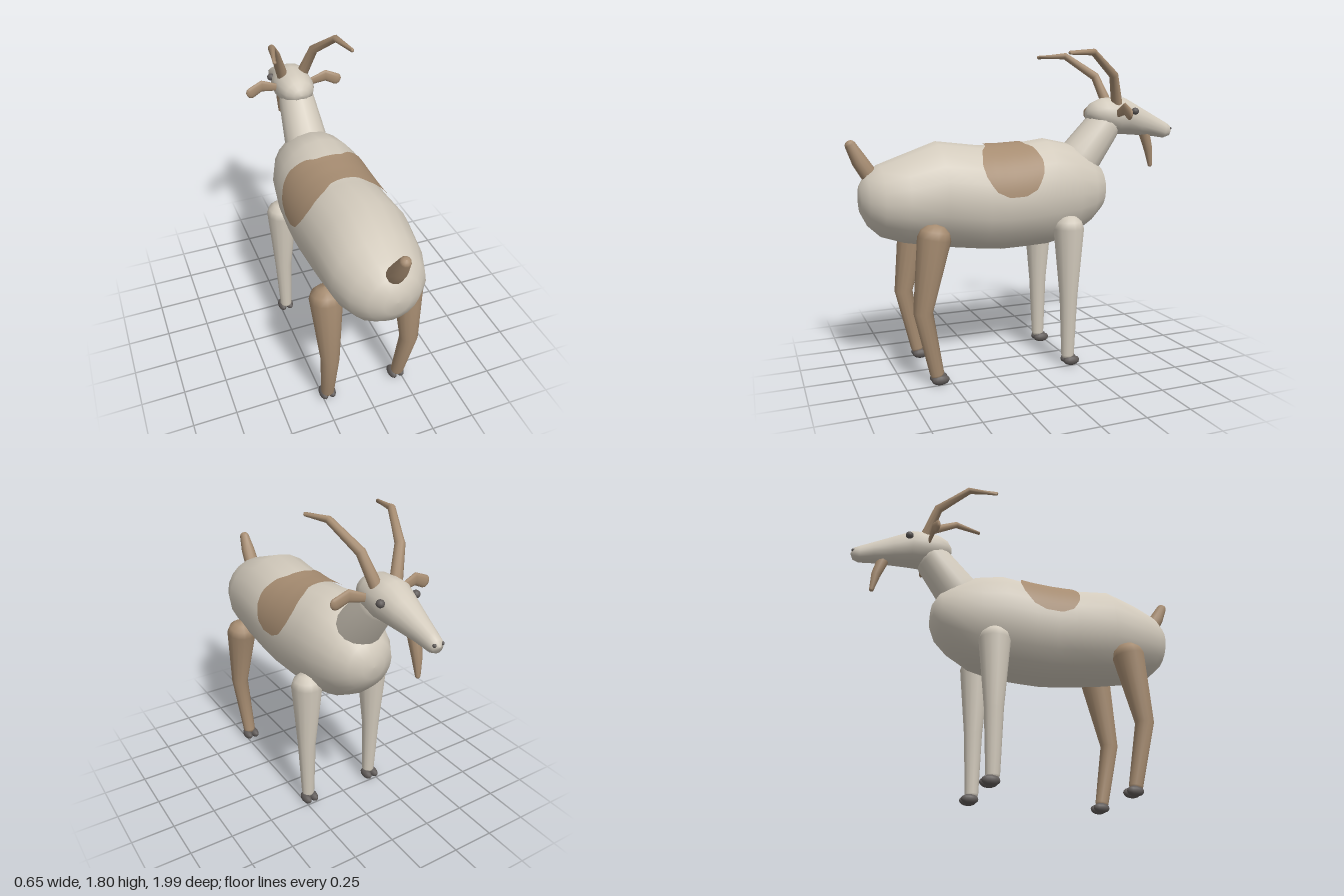
import * as THREE from 'three';

const material = (name, color) => {
  const m = new THREE.MeshStandardMaterial({ color });
  m.name = name;
  return m;
};

// Skin over rows of points; each row is one cross-section
function skin(rows) {
  const n = rows[0].length, pos = [], idx = [];
  rows.forEach(r => r.forEach(p => pos.push(p.x, p.y, p.z)));
  for (let i = 0; i < rows.length - 1; i++) {
    for (let j = 0; j < n - 1; j++) {
      const a = i * n + j, b = a + 1, c = a + n, d = c + 1;
      idx.push(a, c, b, b, c, d);
    }
  }
  const g = new THREE.BufferGeometry();
  g.setAttribute('position', new THREE.Float32BufferAttribute(pos, 3));
  g.setIndex(idx);
  g.computeVertexNormals();
  // Blend the normals along the seam where a section closes
  const nm = g.attributes.normal, u = new THREE.Vector3(), v = new THREE.Vector3();
  rows.forEach((r, i) => {
    if (r[0].distanceTo(r[n - 1]) > 1e-5) return;
    u.fromBufferAttribute(nm, i * n).add(v.fromBufferAttribute(nm, i * n + n - 1)).normalize();
    nm.setXYZ(i * n, u.x, u.y, u.z);
    nm.setXYZ(i * n + n - 1, u.x, u.y, u.z);
  });
  return g;
}

// Point on a section [z, bottom, top, halfWidth] at an angle, pushed out by grow
const onSection = ([z, lo, hi, w], a, grow = 0) => new THREE.Vector3(
  Math.cos(a) * (w + grow), (lo + hi) / 2 + Math.sin(a) * ((hi - lo) / 2 + grow), z);

const hull = (sections, n = 20) => skin(sections.map(s =>
  Array.from({ length: n + 1 }, (_, j) => onSection(s, j / n * Math.PI * 2))));

// Rounded limb through stations [x, y, z, radius]; flat squeezes its depth in z
function limb(stations, n = 12, flat = 1) {
  const pts = stations.map(s => new THREE.Vector3(s[0], s[1], s[2]));
  const last = pts.length - 1, rows = [];
  pts.forEach((p, i) => {
    const t = pts[Math.min(i + 1, last)].clone().sub(pts[Math.max(i - 1, 0)]).normalize();
    const u = new THREE.Vector3(0, 0, 1).cross(t);
    if (u.length() < 0.1) u.set(1, 0, 0);
    u.normalize();
    const v = u.clone().cross(t), r = stations[i][3];
    const ring = (k, along) => rows.push(Array.from({ length: n + 1 }, (_, j) => {
      const a = j / n * Math.PI * 2;
      return p.clone().addScaledVector(t, along * r)
        .addScaledVector(u, Math.cos(a) * r * k).addScaledVector(v, Math.sin(a) * r * k * flat);
    }));
    if (i === 0) { ring(0, -0.85); ring(0.5, -0.75); ring(0.85, -0.45); }
    ring(1, 0);
    if (i === last) { ring(0.85, 0.4); ring(0.5, 0.7); ring(0, 0.8); }
  });
  return skin(rows);
}

// Linear lookup in rows keyed by their first value
function lookup(rows, key) {
  let i = 0;
  const up = rows[1][0] > rows[0][0];
  while (i < rows.length - 2 && (up ? key > rows[i + 1][0] : key < rows[i + 1][0])) i++;
  const f = (key - rows[i][0]) / (rows[i + 1][0] - rows[i][0]);
  return rows[i].map((v, k) => v + (rows[i + 1][k] - v) * f);
}

export function createModel() {
  const cream = material('cream coat', 0xd2cabc);
  const brown = material('brown coat', 0xa68c71);
  const dark = material('dark grey', 0x605b59);
  const group = new THREE.Group();
  group.name = 'goat';
  const add = (name, geometry, mat) => {
    const m = new THREE.Mesh(geometry, mat);
    m.name = name;
    group.add(m);
    return m;
  };
  const ball = (name, x, y, z, rx, ry, rz) => {
    const m = add(name, new THREE.SphereGeometry(1, 12, 8), dark);
    m.position.set(x, y, z);
    m.scale.set(rx, ry, rz);
  };

  // Torso: z, bottom, top, half width
  const torso = [
    [0.93, 1.0, 1.0, 0], [0.925, 0.92, 1.07, 0.07], [0.89, 0.85, 1.13, 0.14],
    [0.82, 0.785, 1.18, 0.205], [0.7, 0.745, 1.225, 0.25], [0.51, 0.71, 1.295, 0.272],
    [0.27, 0.68, 1.268, 0.276], [0.16, 0.67, 1.268, 0.276], [0.04, 0.673, 1.275, 0.274],
    [-0.13, 0.68, 1.3, 0.265], [-0.28, 0.715, 1.27, 0.24], [-0.4, 0.785, 1.2, 0.195],
    [-0.48, 0.86, 1.14, 0.14], [-0.515, 0.93, 1.08, 0.07], [-0.52, 1.0, 1.0, 0],
  ];
  add('torso', hull(torso), cream);

  // Saddle patch: angle up the flank, half length along the back
  const spread = [[0.1, 0.05], [0.2, 0.12], [0.45, 0.165], [0.7, 0.178], [1.1, 0.15], [1.3, 0.115], [1.58, 0.11]];
  const patchRows = [];
  for (let i = 0; i <= 10; i++) {
    patchRows.push(Array.from({ length: 33 }, (_, j) => {
      const a = 0.1 + j / 32 * (Math.PI - 0.2);
      const half = lookup(spread, Math.min(a, Math.PI - a))[1];
      return onSection(lookup(torso, 0.13 + half * (1 - i / 5)), a, 0.009);
    }));
  }
  add('saddlePatch', skin(patchRows), brown);

  // Neck and head
  add('neck', limb([[0, 1.1, -0.31, 0.13], [0, 1.19, -0.38, 0.125], [0, 1.37, -0.525, 0.105]], 16), cream);
  add('head', hull([
    [-0.42, 1.43, 1.43, 0], [-0.425, 1.4, 1.47, 0.045], [-0.455, 1.365, 1.505, 0.085],
    [-0.51, 1.335, 1.53, 0.108], [-0.6, 1.315, 1.538, 0.115], [-0.66, 1.315, 1.535, 0.11],
    [-0.76, 1.308, 1.485, 0.085], [-0.87, 1.3, 1.43, 0.058], [-0.95, 1.288, 1.39, 0.042],
    [-0.985, 1.3, 1.37, 0.033], [-1.0, 1.335, 1.335, 0],
  ], 16), cream);
  add('beard', limb([[0, 1.32, -0.815, 0.034], [0, 1.22, -0.847, 0.027], [0, 1.12, -0.863, 0.013]], 10), brown);
  add('tail', limb([[0, 1.13, 0.875, 0.045], [0, 1.2, 0.92, 0.042], [0, 1.285, 0.965, 0.029]]), brown);

  for (const [side, s] of [['left', 1], ['right', -1]]) {
    const mirror = stations => stations.map(([x, ...rest]) => [x * s, ...rest]);

    // Horns, ears, eyes and nostrils
    add(side + 'Horn', limb(mirror([
      [0.055, 1.48, -0.59, 0.034], [0.115, 1.66, -0.53, 0.027],
      [0.185, 1.782, -0.36, 0.02], [0.218, 1.772, -0.2, 0.011],
    ]), 10), brown);
    add(side + 'Ear', limb(mirror([
      [0.09, 1.435, -0.57, 0.02], [0.2, 1.468, -0.56, 0.035], [0.268, 1.437, -0.553, 0.034],
    ]), 12, 0.4), brown);
    ball(side + 'Eye', s * 0.105, 1.453, -0.685, 0.022, 0.021, 0.023);
    ball(side + 'Nostril', s * 0.023, 1.345, -0.985, 0.01, 0.01, 0.012);

    // Legs
    add(side + 'FrontLeg', limb(mirror([
      [0.22, 0.8, -0.2, 0.088], [0.225, 0.41, -0.2, 0.052], [0.22, 0.06, -0.2, 0.037],
    ]), 14), cream);
    add(side + 'HindLeg', limb(mirror([
      [0.235, 0.8, 0.585, 0.09], [0.237, 0.41, 0.652, 0.052], [0.223, 0.06, 0.58, 0.038],
    ]), 14), brown);

    // Cloven hooves
    for (const [leg, z] of [['Front', -0.215], ['Hind', 0.565]]) {
      for (const toe of [-1, 1]) {
        ball(side + leg + 'Hoof', s * 0.22 + toe * 0.023, 0.028, z, 0.026, 0.028, 0.049);
      }
    }
  }
  return group;
}
